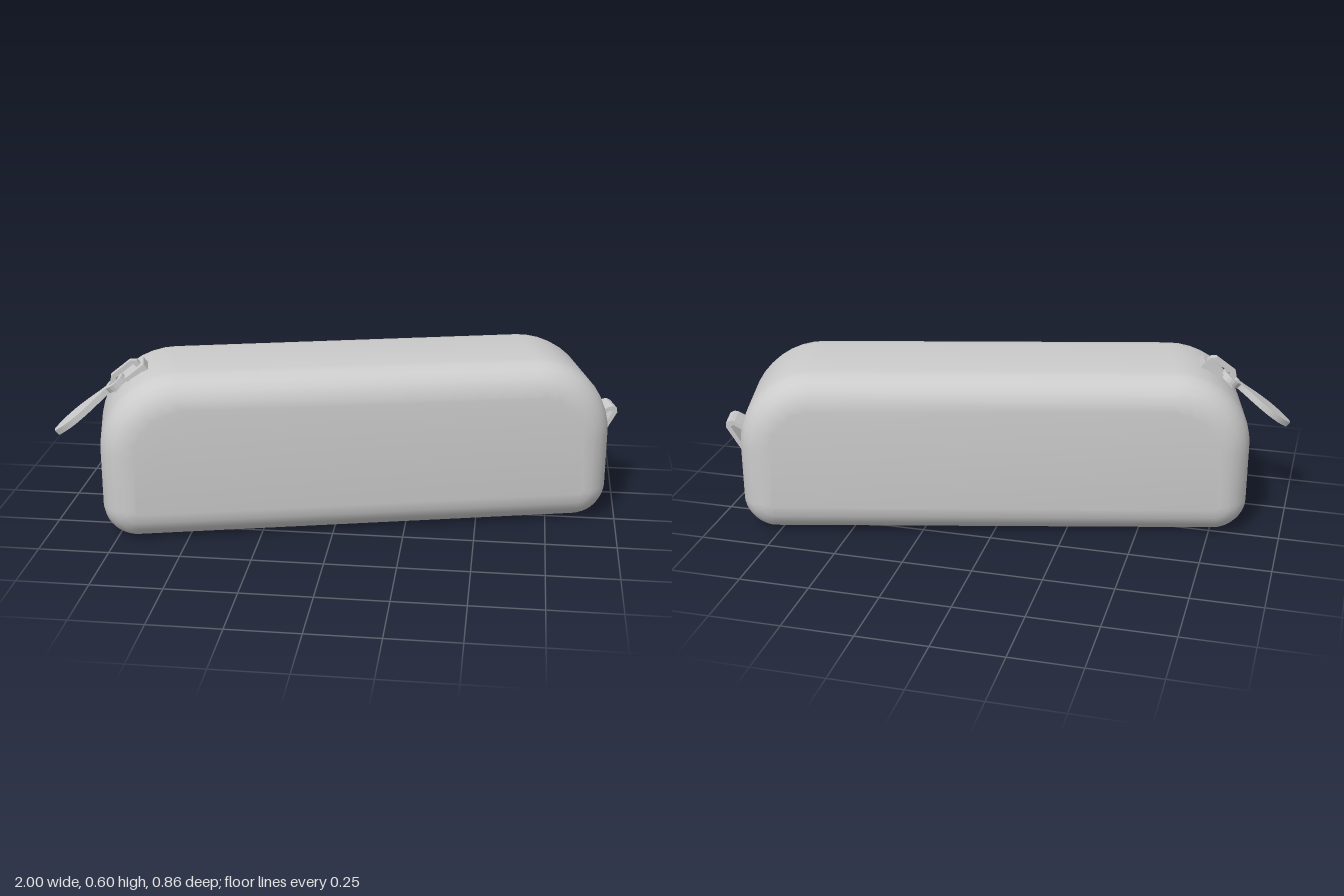
import * as THREE from 'three';
import { toCreasedNormals } from 'three/addons/utils/BufferGeometryUtils.js';

const grey = new THREE.MeshStandardMaterial({ color: 0xcccccc, side: THREE.DoubleSide });

function addMesh(parent, name, geometry) {
  const mesh = new THREE.Mesh(geometry, grey);
  mesh.name = name;
  parent.add(mesh);
  return mesh;
}

// Closed polygon from [x, y] pairs
const polygon = (points) => points.map(([x, y]) => new THREE.Vector2(x, y));

// Extrusion centred on z = 0
function slab(shape, depth, options = {}) {
  const g = new THREE.ExtrudeGeometry(shape, { depth, bevelEnabled: false, curveSegments: 8, ...options });
  g.translate(0, 0, -depth / 2);
  return g;
}

// Pouch: side profile with large top corners and small bottom corners, filleted all round
function pouchGeometry() {
  const fillet = 0.11, width = 0.49;
  const x0 = -0.862 + fillet, x1 = 0.95 - fillet, y0 = fillet + 0.003, y1 = 0.6 - fillet;
  const top = 0.17, low = 0.012;
  const s = new THREE.Shape();
  s.absarc(x1 - low, y0 + low, low, -Math.PI / 2, 0);
  s.absarc(x1 - top, y1 - top, top, 0, Math.PI / 2);
  s.absarc(x0 + top, y1 - top, top, Math.PI / 2, Math.PI);
  s.absarc(x0 + low, y0 + low, low, Math.PI, Math.PI * 1.5);
  const g = slab(s, width - 2 * fillet, {
    bevelEnabled: true, bevelSize: fillet, bevelThickness: fillet, bevelSegments: 5, curveSegments: 5,
  });
  g.translate(0, 0, 0.008);
  return toCreasedNormals(g, 0.6);
}

// Folded fabric loop on the end of the pouch
function loopGeometry() {
  const s = new THREE.Shape(polygon([
    [0.94, 0.232], [0.955, 0.235], [1.018, 0.345], [1.016, 0.362], [1.0, 0.37], [0.985, 0.367], [0.94, 0.34],
  ]));
  s.holes.push(new THREE.Path(polygon([
    [0.953, 0.262], [0.953, 0.328], [0.988, 0.352], [1.001, 0.348],
  ])));
  return slab(s, 0.092);
}

// Pull tab: ring, narrow neck and leaf-shaped grip, lying flat along -x
function pullGeometry() {
  const s = new THREE.Shape();
  s.moveTo(-0.105, -0.014);
  s.bezierCurveTo(-0.16, -0.025, -0.19, -0.046, -0.25, -0.046);
  s.bezierCurveTo(-0.29, -0.046, -0.32, -0.03, -0.343, -0.012);
  s.lineTo(-0.343, 0.012);
  s.bezierCurveTo(-0.32, 0.03, -0.29, 0.046, -0.25, 0.046);
  s.bezierCurveTo(-0.19, 0.046, -0.16, 0.025, -0.105, 0.014);
  s.absarc(-0.065, 0, 0.04, Math.PI * 0.88, -Math.PI * 0.88, true);
  const hole = new THREE.Path();
  hole.absarc(-0.065, 0, 0.022, 0, Math.PI * 2);
  s.holes.push(hole);
  return slab(s, 0.022).rotateX(-Math.PI / 2);
}

// Raised bridge of the slider that holds the pull tab
function bridgeGeometry() {
  const s = new THREE.Shape(polygon([
    [-0.072, 0.01], [-0.072, 0.036], [-0.058, 0.05], [0.03, 0.05], [0.048, 0.035], [0.048, 0.01],
    [0.03, 0.01], [0.03, 0.034], [-0.052, 0.034], [-0.056, 0.01],
  ]));
  return slab(s, 0.026);
}

export function createModel() {
  const model = new THREE.Group();
  model.name = 'pencilCase';
  model.rotation.y = 0.238;

  addMesh(model, 'pouch', pouchGeometry());
  addMesh(model, 'endLoop', loopGeometry());

  // Zip slider, resting on the sloping end of the pouch
  const zip = new THREE.Group();
  zip.name = 'zip';
  zip.position.set(-0.74, 0.547, 0.009);
  zip.rotation.z = 0.65;
  model.add(zip);
  addMesh(zip, 'sliderPlate', new THREE.BoxGeometry(0.085, 0.03, 0.085)).position.set(0.02, 0.003, 0);
  addMesh(zip, 'sliderNose', new THREE.BoxGeometry(0.07, 0.02, 0.04)).position.set(-0.05, -0.004, 0);
  addMesh(zip, 'sliderBridge', bridgeGeometry());
  const pull = addMesh(zip, 'pullTab', pullGeometry());
  pull.position.y = 0.018;
  pull.rotation.z = 0.03;

  const root = new THREE.Group();
  root.add(model);
  return root;
}
